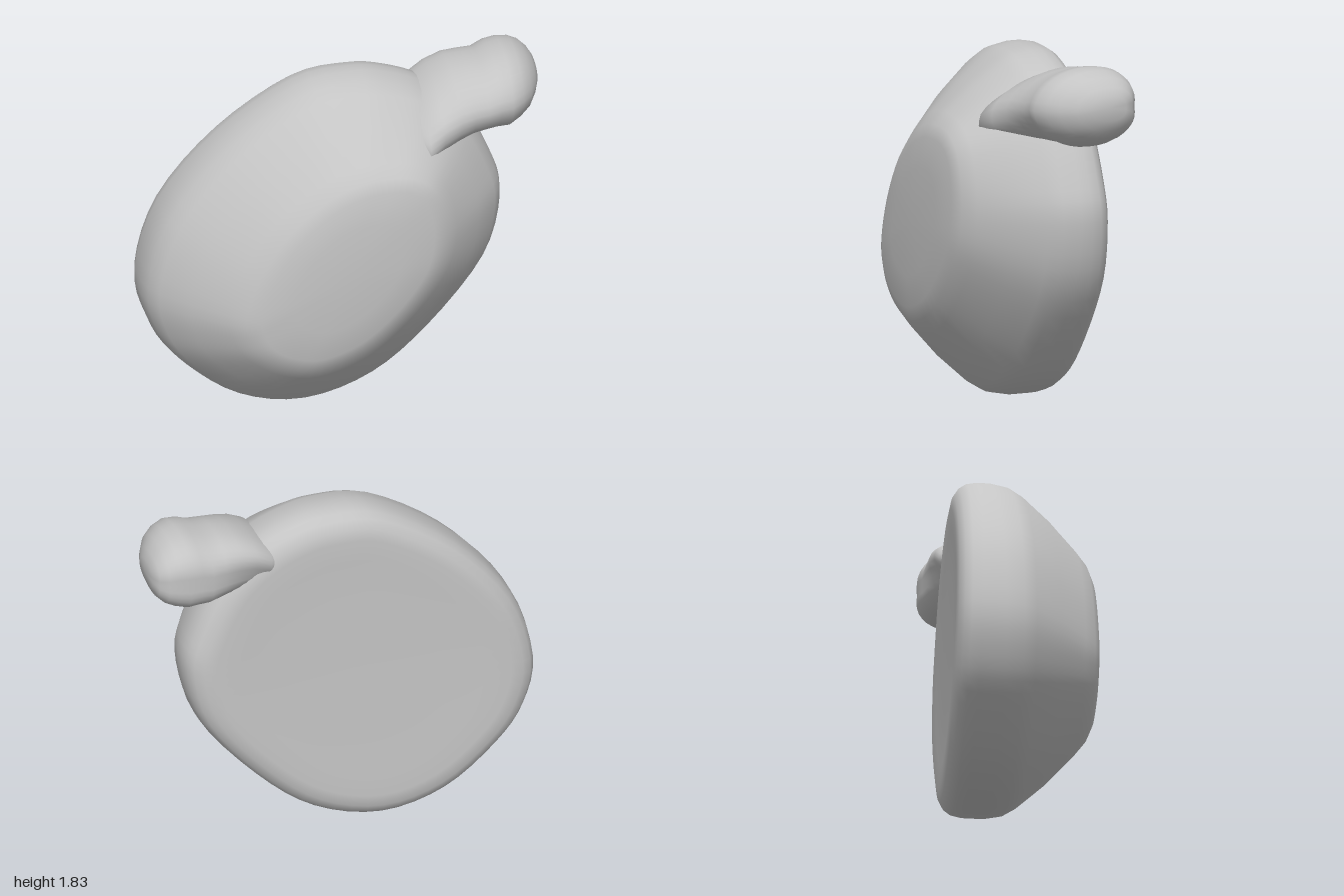
import * as THREE from 'three';

// Skins a list of equal-length closed rings; both ends close on a centre point.
function loft(rings, startPoint, endPoint) {
  const n = rings[0].length;
  const points = [...rings.flat(), startPoint, endPoint];
  const start = points.length - 2, end = points.length - 1;
  const last = (rings.length - 1) * n;
  const index = [];
  for (let j = 0; j < n; j++) {
    const k = (j + 1) % n;
    for (let i = 0; i < rings.length - 1; i++) {
      const a = i * n + j, b = i * n + k, c = a + n, d = b + n;
      index.push(a, b, d, a, d, c);
    }
    index.push(k, j, start, last + j, last + k, end);
  }
  const geometry = new THREE.BufferGeometry().setFromPoints(points);
  geometry.setIndex(index);
  geometry.computeVertexNormals();
  return geometry;
}

// Smooth closed outline through a few points
function outline(pairs, count) {
  const curve = new THREE.CatmullRomCurve3(
    pairs.map(([x, y]) => new THREE.Vector3(x, y, 0)), true, 'catmullrom', 0.5);
  return Array.from({ length: count }, (_, i) => curve.getPoint(i / count));
}

function bodyGeometry() {
  const count = 68;
  const rim = outline([
    [0.805, 1.04], [0.755, 1.26], [0.62, 1.52], [0.44, 1.68], [0.25, 1.765],
    [0.06, 1.796], [-0.22, 1.752], [-0.6, 1.49], [-0.89, 1.13], [-1, 0.75],
    [-0.945, 0.48], [-0.8, 0.28], [-0.53, 0.075], [-0.2, 0.003], [0.15, 0.11],
    [0.45, 0.36], [0.72, 0.71]], count);
  const plateau = outline([
    [0.38, 1.0], [0.39, 1.18], [0.345, 1.33], [0.25, 1.4], [0.12, 1.41],
    [0, 1.39], [-0.15, 1.32], [-0.33, 1.16], [-0.46, 0.95], [-0.53, 0.74],
    [-0.51, 0.62], [-0.45, 0.53], [-0.34, 0.47], [-0.2, 0.45], [0, 0.52],
    [0.18, 0.67], [0.32, 0.85]], count);
  const centre = new THREE.Vector3(-0.08, 0.93, 0);
  const backZ = p => -0.383 + 0.03 * (p.x + p.y); // back face leans slightly

  // Back: [inset towards the centre, height above the back plane]
  const back = [[0.6, 0.012], [0.3, 0.008], [0.16, 0], [0.09, 0.01],
    [0.04, 0.035], [0.012, 0.07], [0, 0.12]];
  // Front: [blend from rim (0) to plateau (1) to centre (2), z]
  const front = [[0, -0.15], [0.04, -0.06], [0.13, 0.005], [0.4, 0.14],
    [0.74, 0.277], [0.9, 0.332], [1.06, 0.36], [1.4, 0.378]];

  const rings = back.map(([inset, dz]) => rim.map(p => {
    const q = p.clone().lerp(centre, inset);
    return q.setZ(backZ(q) + dz);
  }));
  rings.push(...front.map(([k, z]) => rim.map((p, i) =>
    (k <= 1 ? p.clone().lerp(plateau[i], k) : plateau[i].clone().lerp(centre, k - 1)).setZ(z))));

  return loft(rings, centre.clone().setZ(backZ(centre) + 0.012), centre.clone().setZ(0.386));
}

function knobGeometry() {
  // Stations along x: [x, centre y, half height, centre z, half depth, backward lean]
  const stations = [
    [0.2, 1.48, 0.08, -0.08, 0.08, 0.05], [0.3, 1.51, 0.12, -0.06, 0.18, 0.08],
    [0.38, 1.54, 0.15, -0.045, 0.255, 0.1], [0.46, 1.58, 0.166, -0.07, 0.25, 0.08],
    [0.55, 1.602, 0.178, -0.1, 0.247, 0.05], [0.63, 1.61, 0.18, -0.12, 0.245, 0.02],
    [0.7, 1.612, 0.182, -0.13, 0.248, 0], [0.76, 1.628, 0.195, -0.135, 0.25, 0],
    [0.82, 1.632, 0.2, -0.138, 0.251, 0], [0.88, 1.64, 0.182, -0.155, 0.23, 0],
    [0.93, 1.642, 0.152, -0.175, 0.2, 0], [0.97, 1.643, 0.108, -0.2, 0.147, 0],
    [0.992, 1.65, 0.062, -0.21, 0.095, 0]];
  const soften = v => Math.sign(v) * Math.abs(v) ** 0.9; // slightly squared oval
  const rings = stations.map(([x, cy, ry, cz, rz, lean]) => Array.from({ length: 36 }, (_, i) => {
    const up = Math.cos(i / 18 * Math.PI), out = Math.sin(i / 18 * Math.PI);
    return new THREE.Vector3(x, cy + ry * soften(up),
      cz + rz * soften(out) - 0.2 * ry * Math.abs(up) - lean * up);
  }));
  return loft(rings, new THREE.Vector3(0.2, 1.48, -0.08), new THREE.Vector3(1, 1.655, -0.215));
}

export function createModel() {
  const group = new THREE.Group();
  group.name = 'pebbleWithKnob';
  const grey = new THREE.MeshStandardMaterial({ color: 0xc4c4c4 });
  grey.name = 'grey';

  // Rounded body with a flat back and a raised front plateau
  const body = new THREE.Mesh(bodyGeometry(), grey);
  body.name = 'body';

  // Rounded knob on a short neck at the upper left shoulder
  const knob = new THREE.Mesh(knobGeometry(), grey);
  knob.name = 'knob';

  group.add(body, knob);
  return group;
}
